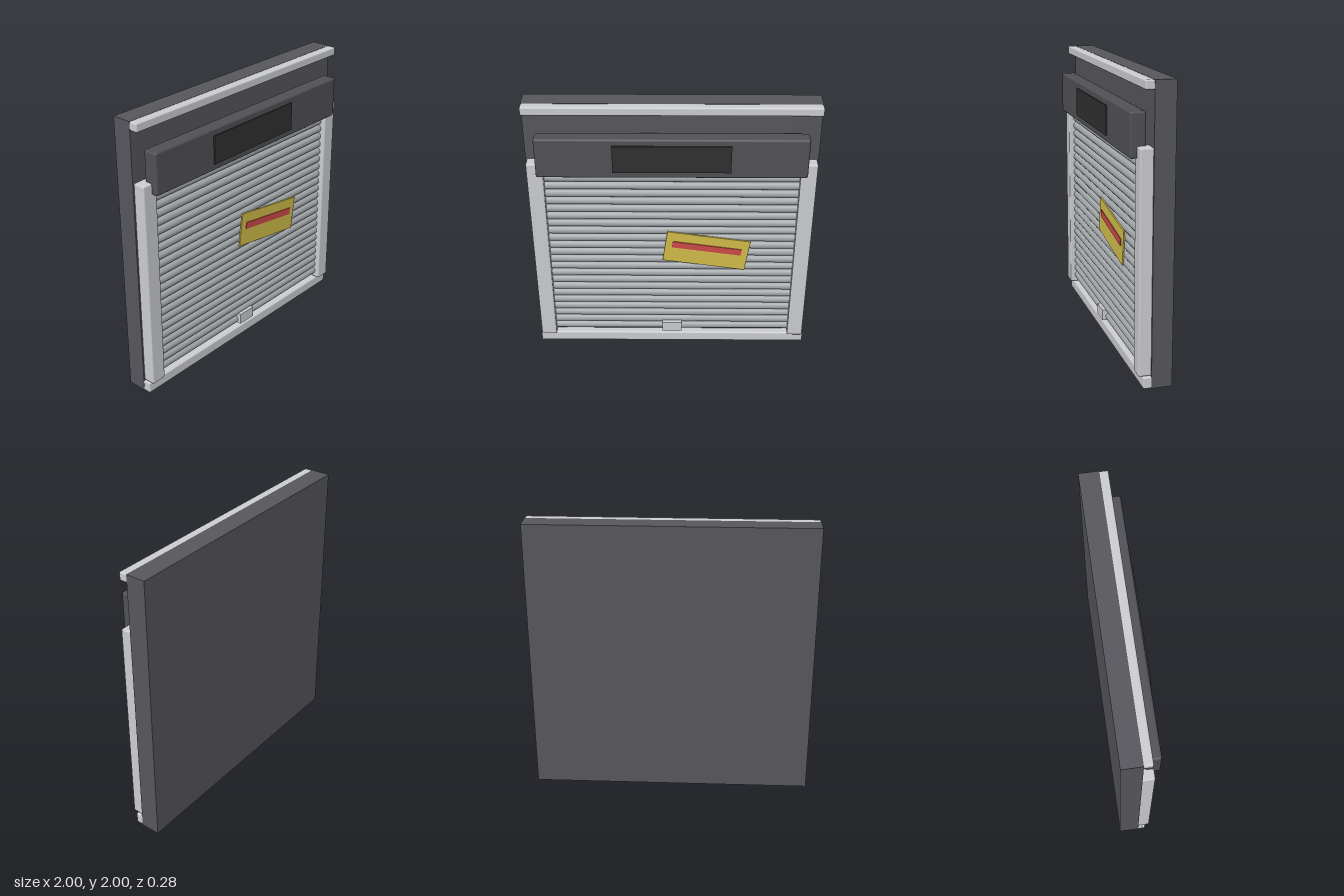
import * as THREE from 'three';
import { RoundedBoxGeometry } from 'three/addons/geometries/RoundedBoxGeometry.js';

function material(name, color) {
  const m = new THREE.MeshStandardMaterial({ color });
  m.name = name;
  return m;
}

export function createModel() {
  const group = new THREE.Group();
  const wallGrey = material('wall grey', 0x56565c);
  const housingGrey = material('housing grey', 0x505056);
  const panelBlack = material('panel black', 0x303030);
  const lightMetal = material('light metal', 0xcccdd1);
  const slatMetal = material('slat metal', 0xa3a8ab);
  const signYellow = material('sign yellow', 0xd2bd4a);
  const signRed = material('sign red', 0xcf4a4a);

  function add(name, geometry, mat, x, y, z, parent = group) {
    const mesh = new THREE.Mesh(geometry, mat);
    mesh.name = name;
    mesh.position.set(x, y, z);
    parent.add(mesh);
    return mesh;
  }
  const box = (w, h, d) => new THREE.BoxGeometry(w, h, d);
  const rounded = (w, h, d, r = 0.01) => new RoundedBoxGeometry(w, h, d, 2, r);

  // Wall slab with trims along the top and the bottom
  add('wall', box(2, 2, 0.14), wallGrey, 0, 1, -0.07);
  add('topTrim', rounded(2, 0.06, 0.065), lightMetal, 0, 1.97, 0.0275);
  add('bottomSill', rounded(2, 0.08, 0.06), lightMetal, 0, 0.04, 0.025);

  // Side guide rails
  for (const side of [-1, 1]) {
    add(side > 0 ? 'leftRail' : 'rightRail', rounded(0.112, 1.5, 0.09),
      lightMetal, side * 0.934, 0.835, 0.04);
  }

  // Round shutter slats
  const shutter = new THREE.Group();
  shutter.name = 'shutter';
  group.add(shutter);
  const slat = new THREE.CylinderGeometry(0.031, 0.031, 1.77, 16);
  slat.rotateZ(Math.PI / 2);
  for (let i = 0; i < 23; i++) {
    add('slat', slat, slatMetal, 0, 0.14 + i * 0.0623, 0.02, shutter);
  }

  // Roller housing with its dark panel
  add('housing', rounded(1.84, 0.295, 0.105, 0.015), housingGrey, 0, 1.6535, 0.0775);
  add('housingPanel', box(0.8, 0.2, 0.015), panelBlack, 0, 1.655, 0.1325);

  // Pull handle
  add('handle', box(0.145, 0.08, 0.04), lightMetal, 0, 0.155, 0.055);

  // Tilted notice with a red stripe
  const sign = new THREE.Group();
  sign.name = 'sign';
  sign.position.set(0.248, 0.853, 0.056);
  sign.rotation.z = -0.143;
  group.add(sign);
  add('signPlate', box(0.6, 0.25, 0.01), signYellow, 0, 0, 0, sign);
  add('signStripe', box(0.5, 0.05, 0.008), signRed, 0, 0.025, 0.007, sign);

  return group;
}
